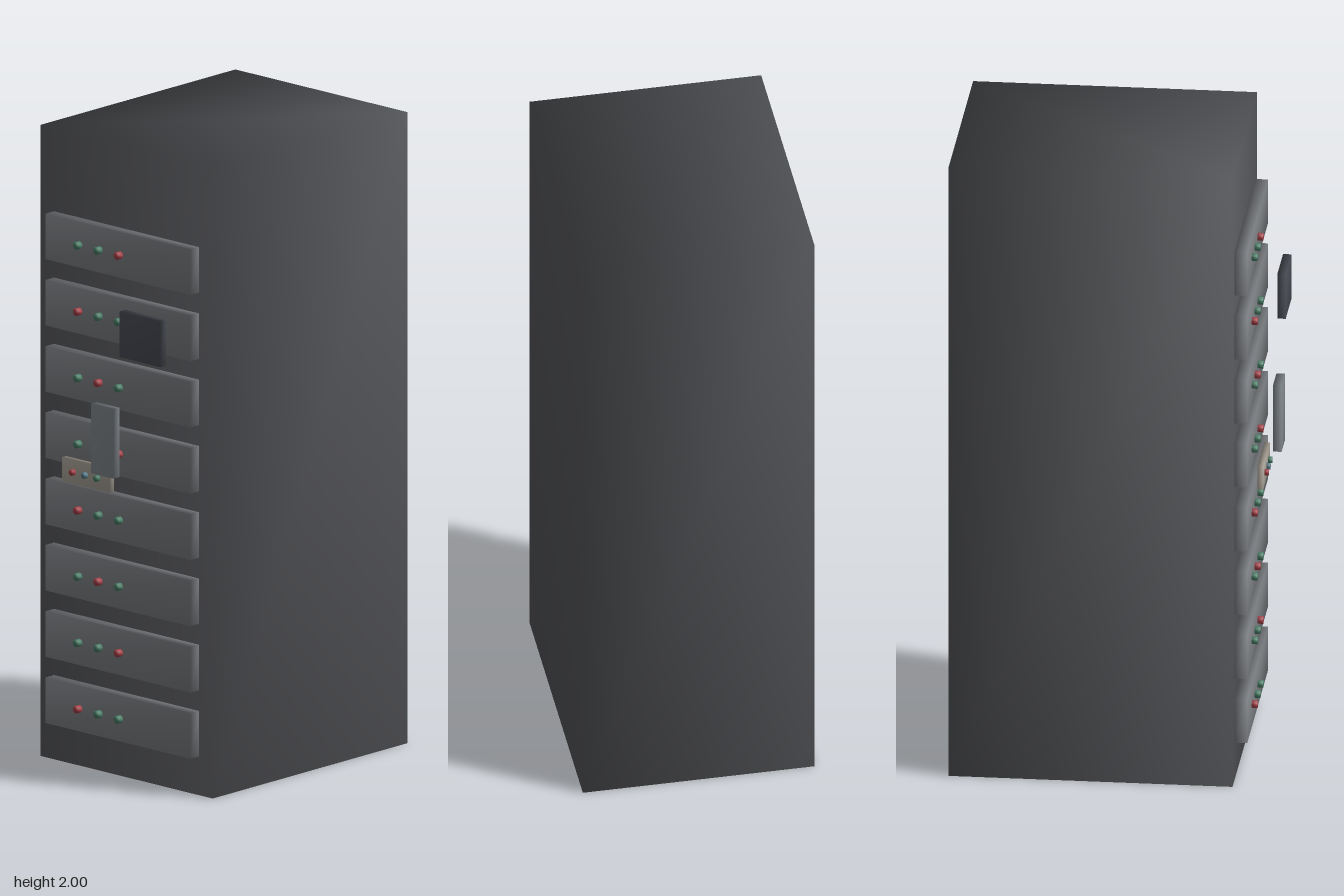
import * as THREE from 'three';
import { mergeVertices } from 'three/addons/utils/BufferGeometryUtils.js';

const mat = (color) => new THREE.MeshStandardMaterial({ color });
const materials = {
  cabinet: mat(0x55565a),
  panel: mat(0x7c7f83),
  screen: mat(0x484b54),
  handset: mat(0x81878c),
  plate: mat(0xa8a196),
  red: mat(0xa84048),
  green: mat(0x4a8068),
  blue: mat(0x5a7f8c),
};

// Weld the corners so the shading runs softly across every edge
function weld(geometry) {
  geometry.deleteAttribute('normal');
  geometry.deleteAttribute('uv');
  const welded = mergeVertices(geometry);
  welded.computeVertexNormals();
  return welded;
}

// Box given by its minimum and maximum corners
function box(name, material, [x0, y0, z0], [x1, y1, z1]) {
  const geometry = weld(new THREE.BoxGeometry(x1 - x0, y1 - y0, z1 - z0));
  const mesh = new THREE.Mesh(geometry, material);
  mesh.name = name;
  mesh.position.set((x0 + x1) / 2, (y0 + y1) / 2, (z0 + z1) / 2);
  return mesh;
}

// Short round lamp facing forward, with its back at z
function lamp(name, material, x, y, z, radius, depth) {
  const geometry = weld(new THREE.CylinderGeometry(radius, radius, depth, 12));
  geometry.rotateX(Math.PI / 2);
  const mesh = new THREE.Mesh(geometry, material);
  mesh.name = name;
  mesh.position.set(x, y, z + depth / 2);
  return mesh;
}

export function createModel() {
  const model = new THREE.Group();
  model.name = 'equipmentCabinet';

  model.add(box('cabinet', materials.cabinet, [-0.36, 0, -0.495], [0.36, 2, 0.378]));

  // Eight stacked units, each with a row of three lamps
  for (let row = 0; row < 8; row++) {
    const y = 1.665 - row * 0.21;
    const unit = new THREE.Group();
    unit.name = `rackUnit${row + 1}`;
    unit.add(box('panel', materials.panel, [-0.303, y - 0.072, 0.378], [0.303, y + 0.072, 0.417]));
    for (let i = 0; i < 3; i++) {
      const color = i === (row + 2) % 3 ? materials.red : materials.green;
      unit.add(lamp('statusLamp', color, -0.16 + i * 0.085, y, 0.417, 0.012, 0.017));
    }
    model.add(unit);
  }

  // Small plate with its own lamps
  const plate = new THREE.Group();
  plate.name = 'lampPlate';
  plate.add(box('plate', materials.plate, [-0.198, 0.917, 0.437], [0.002, 0.993, 0.455]));
  [materials.red, materials.blue, materials.green].forEach((color, i) => {
    plate.add(lamp('plateLamp', color, -0.149 + i * 0.051, 0.955, 0.455, 0.01, 0.012));
  });
  model.add(plate);

  // Upright handset and square screen in front of the units
  model.add(box('handset', materials.handset, [-0.04, 0.98, 0.469], [0.055, 1.2, 0.495]));
  model.add(box('screen', materials.screen, [0.08, 1.37, 0.469], [0.25, 1.515, 0.495]));

  return model;
}
